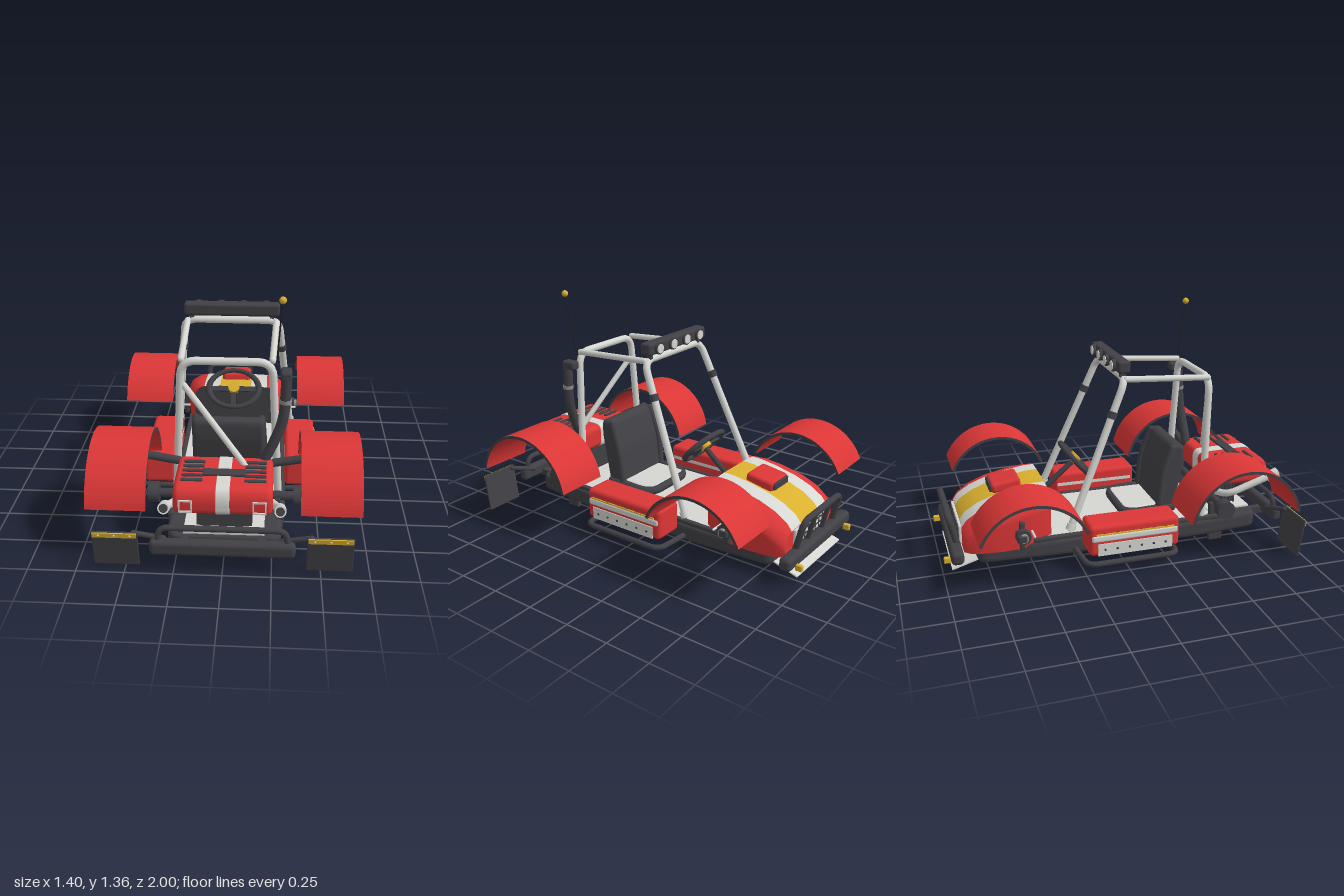
import * as THREE from 'three';
import { RoundedBoxGeometry } from 'three/addons/geometries/RoundedBoxGeometry.js';

const paint = (name, color, side = THREE.FrontSide) => {
  const m = new THREE.MeshStandardMaterial({ color, side });
  m.name = name;
  return m;
};
const V = (x, y, z) => new THREE.Vector3(x, y, z);

export function createModel() {
  const red = paint('red paint', 0xdb3636);
  const dark = paint('charcoal plastic', 0x414045);
  const light = paint('light grey metal', 0xd6d6d2);
  const gold = paint('amber', 0xdab02e);
  const black = paint('black wire', 0x222226);
  const grey = paint('mid grey steel', 0x8e8e90);
  const root = new THREE.Group();
  root.name = 'buggy';

  const add = (name, geo, mat, x = 0, y = 0, z = 0, rx = 0, ry = 0, rz = 0) => {
    const m = new THREE.Mesh(geo, mat);
    m.name = name;
    m.position.set(x, y, z);
    m.rotation.set(rx, ry, rz);
    root.add(m);
    return m;
  };
  const box = (name, w, h, d, mat, x, y, z, r = 0, rx = 0, ry = 0, rz = 0) =>
    add(name, r ? new RoundedBoxGeometry(w, h, d, 3, r) : new THREE.BoxGeometry(w, h, d), mat, x, y, z, rx, ry, rz);
  const both = (fn) => [1, -1].forEach(fn);

  // Straight runs joined by rounded corners, with ball ends
  const pipe = (name, pts, r, mat, bend = 0.06) => {
    const path = new THREE.CurvePath();
    let from = pts[0];
    for (let i = 1; i < pts.length - 1; i++) {
      const p = pts[i];
      const cut = (q) => p.clone().lerp(q, Math.min(0.48, bend / p.distanceTo(q)));
      const a = cut(pts[i - 1]), b = cut(pts[i + 1]);
      path.add(new THREE.LineCurve3(from, a));
      path.add(new THREE.QuadraticBezierCurve3(a, p, b));
      from = b;
    }
    path.add(new THREE.LineCurve3(from, pts[pts.length - 1]));
    add(name, new THREE.TubeGeometry(path, pts.length > 2 ? 22 * pts.length : 1, r, 12), mat);
    for (const e of [pts[0], pts[pts.length - 1]])
      add(name + 'End', new THREE.SphereGeometry(r, 12, 8), mat, e.x, e.y, e.z);
  };

  // Closed outline with softened corners
  const outline = (pts, r) => {
    const s = new THREE.Shape();
    const n = pts.length;
    pts.forEach(([x, y], i) => {
      const toward = ([qx, qy]) => {
        const t = Math.min(0.48, r / Math.hypot(qx - x, qy - y));
        return [x + (qx - x) * t, y + (qy - y) * t];
      };
      const a = toward(pts[(i + n - 1) % n]), b = toward(pts[(i + 1) % n]);
      i ? s.lineTo(...a) : s.moveTo(...a);
      s.quadraticCurveTo(x, y, ...b);
    });
    s.closePath();
    return s;
  };
  // Side profile in (z, y), extruded across x and centred
  const across = (shape, width, bevel = 0, offset = -bevel) =>
    new THREE.ExtrudeGeometry(shape, {
      depth: width - 2 * bevel, bevelEnabled: bevel > 0, bevelSize: bevel, bevelThickness: bevel,
      bevelOffset: offset, bevelSegments: 4, curveSegments: 24,
    }).translate(0, 0, bevel - width / 2).rotateY(-Math.PI / 2);

  // Floor tub and floor
  const tub = outline([[-0.28, -0.8], [0.28, -0.8], [0.31, -0.35], [0.31, 0.5], [0.28, 0.86], [-0.28, 0.86], [-0.31, 0.5], [-0.31, -0.35]], 0.05);
  add('tub', new THREE.ExtrudeGeometry(tub, { depth: 0.05, bevelSize: 0.02, bevelThickness: 0.025, bevelOffset: -0.01, bevelSegments: 3 })
    .rotateX(Math.PI / 2), dark, 0, 0.135, 0);
  box('floor', 0.56, 0.012, 1.0, light, 0, 0.165, 0.08);
  both((s) => box('sill', 0.03, 0.03, 1.2, dark, s * 0.295, 0.165, 0.1, 0.01));

  // Striped bonnet lofted from cross-sections: [z, half width, height]
  const stations = [[-0.39, 0.265, 0.43], [-0.45, 0.3, 0.428], [-0.55, 0.318, 0.413], [-0.68, 0.323, 0.383],
    [-0.78, 0.315, 0.345], [-0.85, 0.293, 0.3], [-0.88, 0.265, 0.26]];
  const section = ([z, w, h]) => {
    const half = [[w - 0.01, 0.13]];
    for (let i = 0; i <= 6; i++) {
      const a = (i / 6) * Math.PI / 2;
      half.push([0.2 + (w - 0.2) * Math.cos(a), h - 0.1 + 0.095 * Math.sin(a)]);
    }
    half.push([0.1, h]);
    return [...half, ...half.map(([x, y]) => [-x, y]).reverse()].map(([x, y]) => [x, y, z]);
  };
  const rows = stations.map(section), cols = rows[0].length;
  const bonnet = new THREE.BufferGeometry();
  const idx = [];
  for (let c = 0; c < cols - 1; c++) {
    bonnet.addGroup(idx.length, (rows.length - 1) * 6, c === 8 ? 2 : c === 7 || c === 9 ? 1 : 0);
    for (let r = 0; r < rows.length - 1; r++) {
      const a = r * cols + c, b = a + cols;
      idx.push(a, b, a + 1, b, b + 1, a + 1);
    }
  }
  bonnet.setAttribute('position', new THREE.Float32BufferAttribute(rows.flat(2), 3));
  bonnet.setIndex(idx);
  bonnet.computeVertexNormals();
  const sided = [paint('bonnet red', 0xdb3636, THREE.DoubleSide), light, gold];
  add('bonnet', bonnet, sided);
  for (const [row, name, turn] of [[rows[0], 'bonnetRear', 0], [rows[rows.length - 1], 'bonnetFront', 1]]) {
    const face = new THREE.ShapeGeometry(new THREE.Shape(row.map(([x, y]) => new THREE.Vector2(x, y))));
    add(name, face, turn ? sided[0] : dark, 0, 0, row[0][2], 0, turn ? Math.PI : 0);
  }
  box('bonnetScoop', 0.18, 0.06, 0.17, red, 0, 0.42, -0.605, 0.02, -0.15);
  box('scoopMouth', 0.15, 0.04, 0.02, dark, 0, 0.41, -0.69, 0.005);
  box('grille', 0.36, 0.11, 0.02, light, 0, 0.2, -0.885, 0.005);
  for (let i = 0; i < 9; i++) box('grilleBar', 0.008, 0.1, 0.01, dark, -0.16 + i * 0.04, 0.2, -0.893);
  for (let i = 0; i < 3; i++) box('grilleSlat', 0.34, 0.007, 0.01, dark, 0, 0.17 + i * 0.03, -0.893);

  // Nose bumper, bull bar and skid plate
  box('noseBumper', 0.72, 0.075, 0.07, dark, 0, 0.14, -0.925, 0.025);
  pipe('bullBar', [V(-0.21, 0.16, -0.91), V(-0.21, 0.34, -0.955), V(0.21, 0.34, -0.955), V(0.21, 0.16, -0.91)], 0.018, dark);
  both((s) => {
    pipe('bullBarUpright', [V(s * 0.08, 0.16, -0.91), V(s * 0.08, 0.335, -0.955)], 0.013, dark);
    box('noseMarker', 0.025, 0.035, 0.04, gold, s * 0.28, 0.11, -0.975, 0.006);
  });
  box('skidPlate', 0.5, 0.008, 0.24, light, 0, 0.065, -0.835, 0, -0.29);

  // Arched mudguards, stays and hubs
  const fender = (z, y, r, low, x, w) => {
    const s = new THREE.Shape();
    s.absarc(0, 0, r, low, Math.PI - low, false);
    s.absarc(0, 0, r - 0.016, Math.PI - low, low, true);
    both((k) => add('fender', across(s, w), [dark, red], k * x, y, z));
  };
  fender(-0.57, 0.24, 0.309, 0.4, 0.54, 0.295);
  fender(0.6, 0.272, 0.327, 0.18, 0.545, 0.31);
  both((s) => {
    pipe('rearFenderStay', [V(s * 0.25, 0.445, 0.6), V(s * 0.42, 0.475, 0.6)], 0.022, dark);
    box('frontFenderStay', 0.12, 0.04, 0.05, dark, s * 0.345, 0.23, -0.58, 0.008);
    add('frontHub', new THREE.CylinderGeometry(0.042, 0.042, 0.035, 20), dark, s * 0.365, 0.23, -0.57, 0, 0, Math.PI / 2);
    add('frontHubCap', new THREE.CylinderGeometry(0.025, 0.025, 0.03, 16), grey, s * 0.385, 0.23, -0.57, 0, 0, Math.PI / 2);
    box('frontUpright', 0.03, 0.16, 0.03, dark, s * 0.335, 0.225, -0.57, 0.008);
    pipe('steeringRod', [V(s * 0.28, 0.23, -0.51), V(s * 0.385, 0.23, -0.51)], 0.007, light);
    pipe('rearAxle', [V(s * 0.1, 0.25, 0.61), V(s * 0.39, 0.25, 0.61)], 0.025, dark);
    add('rearHub', new THREE.CylinderGeometry(0.053, 0.053, 0.06, 20), dark, s * 0.39, 0.25, 0.61, 0, 0, Math.PI / 2);
    box('rearBracket', 0.03, 0.24, 0.085, dark, s * 0.275, 0.13, 0.605, 0.006);

    // Side boxes with trim and step rails
    box('sideBox', 0.18, 0.18, 0.52, red, s * 0.405, 0.205, 0.03, 0.025);
    box('sideBoxBand', 0.185, 0.045, 0.5, light, s * 0.407, 0.22, 0.03, 0.015);
    box('sideBoxTrim', 0.03, 0.008, 0.45, gold, s * 0.487, 0.245, 0.03);
    box('sideBoxPanel', 0.008, 0.07, 0.43, light, s * 0.496, 0.155, 0.03);
    for (let i = 0; i < 6; i++) {
      add('panelScrew', new THREE.SphereGeometry(0.007, 8, 6), dark, s * 0.5, 0.155, -0.145 + i * 0.07);
      add('trimScrew', new THREE.SphereGeometry(0.005, 8, 6), dark, s * 0.494, 0.249, -0.145 + i * 0.07);
    }
    pipe('stepRail', [V(s * 0.28, 0.09, -0.27), V(s * 0.53, 0.09, -0.25), V(s * 0.53, 0.09, 0.27), V(s * 0.28, 0.09, 0.27)], 0.016, dark);

    // Mud flaps
    box('mudFlap', 0.235, 0.22, 0.012, dark, s * 0.543, 0.135, 0.965, 0.005, 0.15);
    box('mudFlapStrip', 0.225, 0.028, 0.008, gold, s * 0.543, 0.226, 0.987, 0, 0.15);
    for (let i = -1; i < 2; i++) add('flapScrew', new THREE.SphereGeometry(0.006, 8, 6), light, s * 0.543 + i * 0.08, 0.226, 0.99);
    pipe('mudFlapArm', [V(s * 0.3, 0.18, 0.93), V(s * 0.45, 0.23, 0.965)], 0.014, dark);
  });

  // Seat
  box('seatCushion', 0.35, 0.05, 0.29, light, 0, 0.205, 0.21, 0.024);
  pipe('seatBolster', [V(-0.19, 0.215, 0.36), V(-0.19, 0.205, 0.07), V(0.19, 0.205, 0.07), V(0.19, 0.215, 0.36)], 0.025, dark, 0.1);
  const back = outline([[0.27, 0.19], [0.3, 0.42], [0.355, 0.6], [0.43, 0.6], [0.43, 0.5], [0.37, 0.18]], 0.04);
  add('seatBack', across(back, 0.4, 0.025), dark);
  both((s) => pipe('seatBackBolster', [V(s * 0.185, 0.22, 0.28), V(s * 0.19, 0.42, 0.3), V(s * 0.18, 0.58, 0.36)], 0.022, dark));

  // Steering wheel and column
  const tilt = Math.atan2(0.747, 0.66);
  add('steeringWheel', new THREE.TorusGeometry(0.13, 0.016, 10, 40).rotateX(-Math.PI / 2).scale(1.18, 1, 0.9), dark, 0, 0.51, -0.18, tilt);
  box('steeringSpokes', 0.28, 0.014, 0.03, dark, 0, 0.505, -0.185, 0, tilt);
  box('steeringSpokeDown', 0.03, 0.014, 0.11, dark, 0, 0.465, -0.145, 0, tilt);
  add('steeringHub', new THREE.CylinderGeometry(0.035, 0.035, 0.045, 16), gold, 0, 0.515, -0.185, tilt);
  pipe('steeringColumn', [V(0, 0.5, -0.19), V(0, 0.31, -0.41)], 0.016, dark);

  // Roll cage
  pipe('rearHoop', [V(-0.28, 0.17, 0.515), V(-0.235, 1.0, 0.55), V(0.235, 1.0, 0.55), V(0.28, 0.17, 0.515)], 0.021, light, 0.08);
  pipe('frontHoop', [V(-0.35, 0.24, -0.3), V(-0.265, 1.04, 0.04), V(0.265, 1.04, 0.04), V(0.35, 0.24, -0.3)], 0.021, light, 0.07);
  pipe('diagonalBrace', [V(-0.22, 0.86, 0.55), V(0.11, 0.46, 0.68)], 0.017, light);
  both((s) => {
    pipe('roofRail', [V(s * 0.25, 1.035, 0.05), V(s * 0.235, 1.005, 0.54)], 0.018, light);
    add('hoopCollar', new THREE.CylinderGeometry(0.027, 0.027, 0.04, 14), dark, s * 0.285, 0.85, -0.041, 0.4, 0, s * 0.1);
    add('hoopFoot', new THREE.CylinderGeometry(0.027, 0.027, 0.035, 14), light, s * 0.35, 0.245, -0.298, 0.4, 0, s * 0.1);
    box('lightBarMount', 0.025, 0.05, 0.03, dark, s * 0.225, 1.06, 0.035);
  });

  // Light bar
  box('lightBar', 0.535, 0.07, 0.07, dark, 0, 1.105, 0.035, 0.015);
  for (let i = 0; i < 4; i++) {
    const x = -0.19 + i * 0.127;
    add('lampRim', new THREE.CylinderGeometry(0.034, 0.034, 0.02, 20), dark, x, 1.105, -0.005, Math.PI / 2);
    add('lampLens', new THREE.CylinderGeometry(0.026, 0.026, 0.008, 20), light, x, 1.105, -0.016, Math.PI / 2);
  }

  // Antenna and air intake
  pipe('antenna', [V(0.255, 1.0, 0.55), V(0.278, 1.35, 0.605)], 0.004, black);
  add('antennaBall', new THREE.SphereGeometry(0.019, 16, 12), gold, 0.278, 1.35, 0.605);
  pipe('intakeHose', [V(0.2, 0.46, 0.605), V(0.25, 0.57, 0.6), V(0.3, 0.7, 0.59), V(0.308, 0.93, 0.58)], 0.028, dark, 0.1);
  box('intakeHead', 0.06, 0.05, 0.09, dark, 0.305, 0.94, 0.56, 0.015);
  add('intakeClamp', new THREE.CylinderGeometry(0.031, 0.031, 0.02, 16), grey, 0.305, 0.8, 0.586);

  // Engine cover with stripe, louvres and tail lamp frames
  const cover = outline([[0.585, 0.33], [0.585, 0.475], [0.92, 0.48], [0.95, 0.43], [0.945, 0.33]], 0.04);
  add('engineCover', across(cover, 0.5, 0.03), red);
  add('engineCoverStripe', across(cover, 0.07, 0.004, 0), light);
  for (let i = 0; i < 5; i++)
    both((s) => box('louvre', 0.11, 0.014, 0.02, dark, s * 0.16, 0.481, 0.67 + i * 0.046, 0.005));
  box('coverLatch', 0.22, 0.016, 0.06, dark, 0, 0.484, 0.78, 0.006);
  both((s) => {
    for (const k of [-1, 1]) {
      box('tailLampFrame', 0.07, 0.008, 0.014, light, s * 0.185, 0.385 + k * 0.031, 0.947);
      box('tailLampFrame', 0.008, 0.07, 0.014, light, s * 0.185 + k * 0.031, 0.385, 0.947);
    }
    // Exhaust pipes
    pipe('exhaust', [V(s * 0.12, 0.25, 0.66), V(s * 0.24, 0.27, 0.7), V(s * 0.285, 0.375, 0.94)], 0.021, light);
    add('exhaustTip', new THREE.CylinderGeometry(0.03, 0.03, 0.07, 18), light, s * 0.287, 0.385, 0.96, 1.18);
    add('exhaustBore', new THREE.CylinderGeometry(0.022, 0.022, 0.004, 18), dark, s * 0.287, 0.399, 0.994, 1.18);
  });

  // Engine block with cooling fins
  box('engineBlock', 0.26, 0.17, 0.17, dark, 0, 0.25, 0.71);
  for (let i = 0; i < 7; i++) box('coolingFin', 0.29, 0.14, 0.01, dark, 0, 0.24, 0.635 + i * 0.025);
  box('enginePlate', 0.42, 0.012, 0.27, light, 0, 0.165, 0.72);
  add('oilFilter', new THREE.CylinderGeometry(0.027, 0.027, 0.06, 16), gold, -0.17, 0.3, 0.57, 0.5);

  // Tail bumper
  box('tailBumper', 0.74, 0.085, 0.06, dark, 0, 0.155, 0.965, 0.025);
  pipe('tailBumperRail', [V(-0.33, 0.17, 0.96), V(-0.32, 0.26, 0.955), V(0.32, 0.26, 0.955), V(0.33, 0.17, 0.96)], 0.016, dark, 0.05);
  both((s) => box('bumperBracket', 0.04, 0.04, 0.14, dark, s * 0.2, 0.13, 0.9));
  return root;
}
